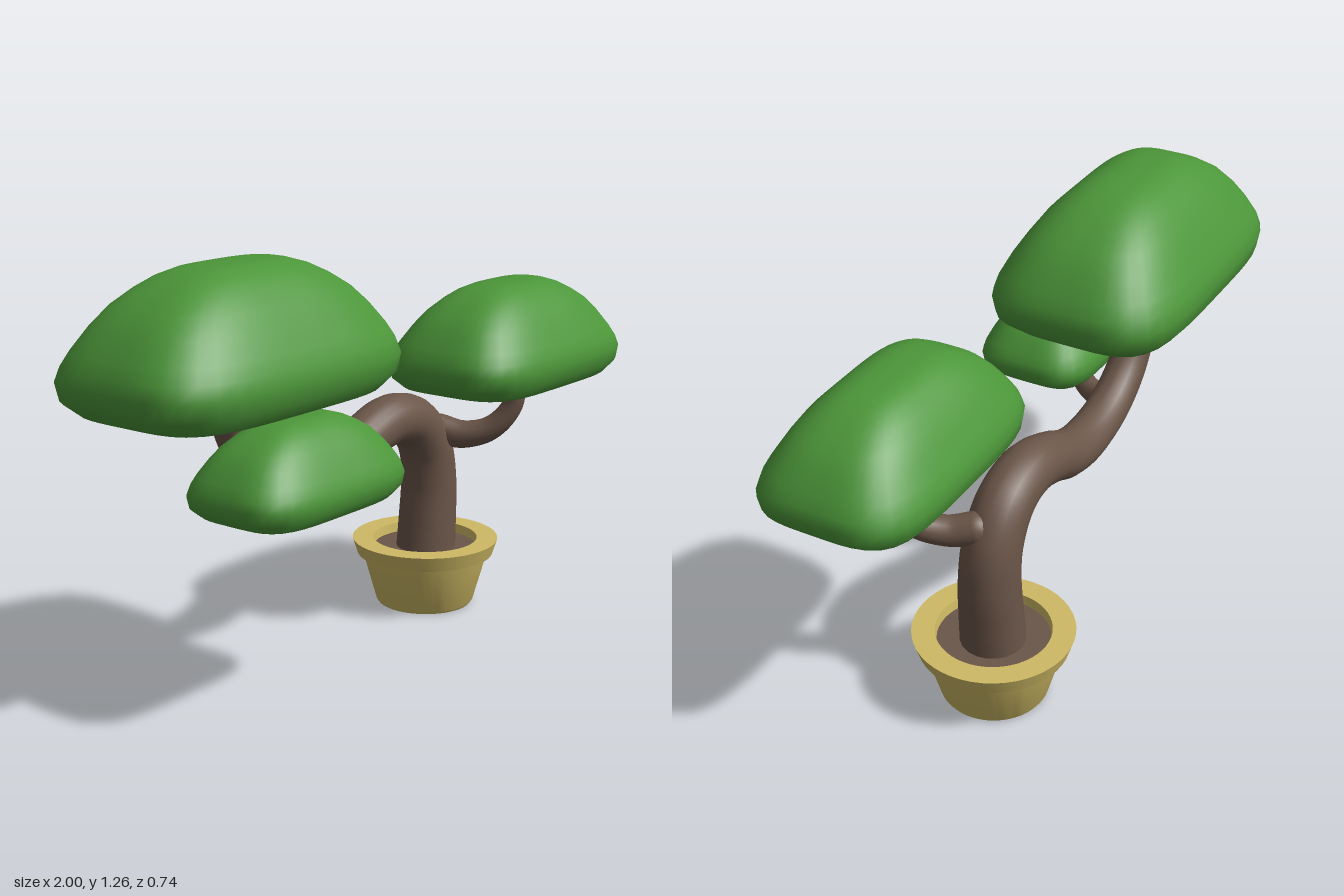
import * as THREE from 'three';
import { toCreasedNormals } from 'three/addons/utils/BufferGeometryUtils.js';

// Round limb that tapers from r0 to r1 along a smooth path
function taperedLimb(points, r0, r1, segments) {
  const curve = new THREE.CatmullRomCurve3(points.map(p => new THREE.Vector3(...p)));
  const sides = 20;
  const geo = new THREE.TubeGeometry(curve, segments, 1, sides, false);
  const pos = geo.attributes.position;
  const v = new THREE.Vector3();
  for (let i = 0; i <= segments; i++) {
    const t = i / segments;
    const centre = curve.getPointAt(t);
    const r = r0 + (r1 - r0) * t;
    for (let j = 0; j <= sides; j++) {
      const k = i * (sides + 1) + j;
      v.fromBufferAttribute(pos, k).sub(centre).multiplyScalar(r).add(centre);
      pos.setXYZ(k, v.x, v.y, v.z);
    }
  }
  return geo;
}

// Foliage outline from bottom to top: height, x scale, z scale
const PAD_PROFILE = [
  [0, 0, 0], [0, 0.5, 0.42], [0.02, 0.7, 0.66], [0.065, 0.86, 0.86], [0.17, 0.97, 0.97],
  [0.3, 1, 1], [0.4, 0.975, 0.965], [0.5, 0.93, 0.9], [0.65, 0.84, 0.78], [0.77, 0.74, 0.67],
  [0.87, 0.61, 0.54], [0.94, 0.49, 0.42], [0.985, 0.37, 0.29], [1, 0.22, 0.16], [1, 0, 0],
];

// Cushion made of rounded-rectangle rings
function foliagePad(halfX, height, halfZ) {
  const sides = 56;
  const verts = [], index = [];
  PAD_PROFILE.forEach(([h, sx, sz], row) => {
    const n = 4.4 - 1.3 * h;
    for (let j = 0; j < sides; j++) {
      const a = j / sides * Math.PI * 2;
      const c = Math.cos(a), s = Math.sin(a);
      const r = Math.pow(Math.abs(c) ** n + Math.abs(s) ** n, -1 / n);
      verts.push(c * r * halfX * sx, h * height, s * r * halfZ * sz);
      if (row === 0) continue;
      const k = (j + 1) % sides;
      const a0 = (row - 1) * sides + j, a1 = (row - 1) * sides + k;
      const b0 = row * sides + j, b1 = row * sides + k;
      // Skip the collapsed triangles at both poles
      if (row > 1) index.push(a0, b0, a1);
      if (row < PAD_PROFILE.length - 1) index.push(a1, b0, b1);
    }
  });
  const geo = new THREE.BufferGeometry();
  geo.setAttribute('position', new THREE.Float32BufferAttribute(verts, 3));
  geo.setIndex(index);
  geo.computeVertexNormals();
  return geo;
}

export function createModel() {
  const group = new THREE.Group();
  group.name = 'pottedTree';

  const material = (name, color) => {
    const m = new THREE.MeshStandardMaterial({ color });
    m.name = name;
    return m;
  };
  const leaf = material('leaf green', 0x4c9639);
  const bark = material('bark brown', 0x6b5649);
  const clay = material('pot yellow', 0xcdb964);

  const add = (name, geo, mat, x = 0, y = 0, z = 0) => {
    const mesh = new THREE.Mesh(geo, mat);
    mesh.name = name;
    mesh.position.set(x, y, z);
    group.add(mesh);
    return mesh;
  };

  const potX = 0.475, potZ = -0.115;

  // Pot: sloped wall, overhanging rim and hollow top
  const potProfile = [
    [0, 0], [0.155, 0], [0.162, 0.01], [0.207, 0.17], [0.225, 0.17],
    [0.241, 0.22], [0.172, 0.22], [0.165, 0.17],
  ].map(p => new THREE.Vector2(...p));
  add('pot', toCreasedNormals(new THREE.LatheGeometry(potProfile, 48), 0.5), clay, potX, 0, potZ);
  add('soil', new THREE.CylinderGeometry(0.17, 0.166, 0.015, 48), bark, potX, 0.1825, potZ);

  // Trunk: rises, arches over and sweeps up under the largest pad
  add('trunk', taperedLimb([
    [0.477, 0.15, potZ], [0.487, 0.28, potZ], [0.493, 0.41, potZ], [0.472, 0.53, potZ],
    [0.4, 0.625, potZ], [0.28, 0.657, potZ], [0.15, 0.625, potZ], [0.03, 0.57, potZ],
    [-0.1, 0.55, potZ], [-0.25, 0.577, potZ], [-0.37, 0.65, potZ], [-0.45, 0.76, potZ],
    [-0.49, 0.88, potZ],
  ], 0.099, 0.054, 90), bark);

  // Side branches with rounded roots
  const branches = [
    ['leftBranch', [[0.505, 0.588, -0.08], [0.535, 0.575, -0.01], [0.58, 0.6, 0.07],
      [0.62, 0.68, 0.127], [0.625, 0.79, 0.138]], 0.05, 0.027],
    ['rightBranch', [[-0.33, 0.56, -0.1], [-0.37, 0.53, -0.02], [-0.42, 0.54, 0.06],
      [-0.465, 0.6, 0.115], [-0.475, 0.67, 0.135]], 0.043, 0.027],
  ];
  for (const [name, path, r0, r1] of branches) {
    add(name, taperedLimb(path, r0, r1, 32), bark);
    add(name + 'Root', new THREE.SphereGeometry(r0, 20, 14), bark, ...path[0]);
  }

  // Foliage pads
  add('largeFoliage', foliagePad(0.5, 0.412, 0.307), leaf, -0.5, 0.85, -0.062);
  add('leftFoliage', foliagePad(0.41, 0.338, 0.252), leaf, 0.59, 0.752, 0.117);
  add('smallFoliage', foliagePad(0.317, 0.265, 0.195), leaf, -0.488, 0.592, 0.153);

  return group;
}
